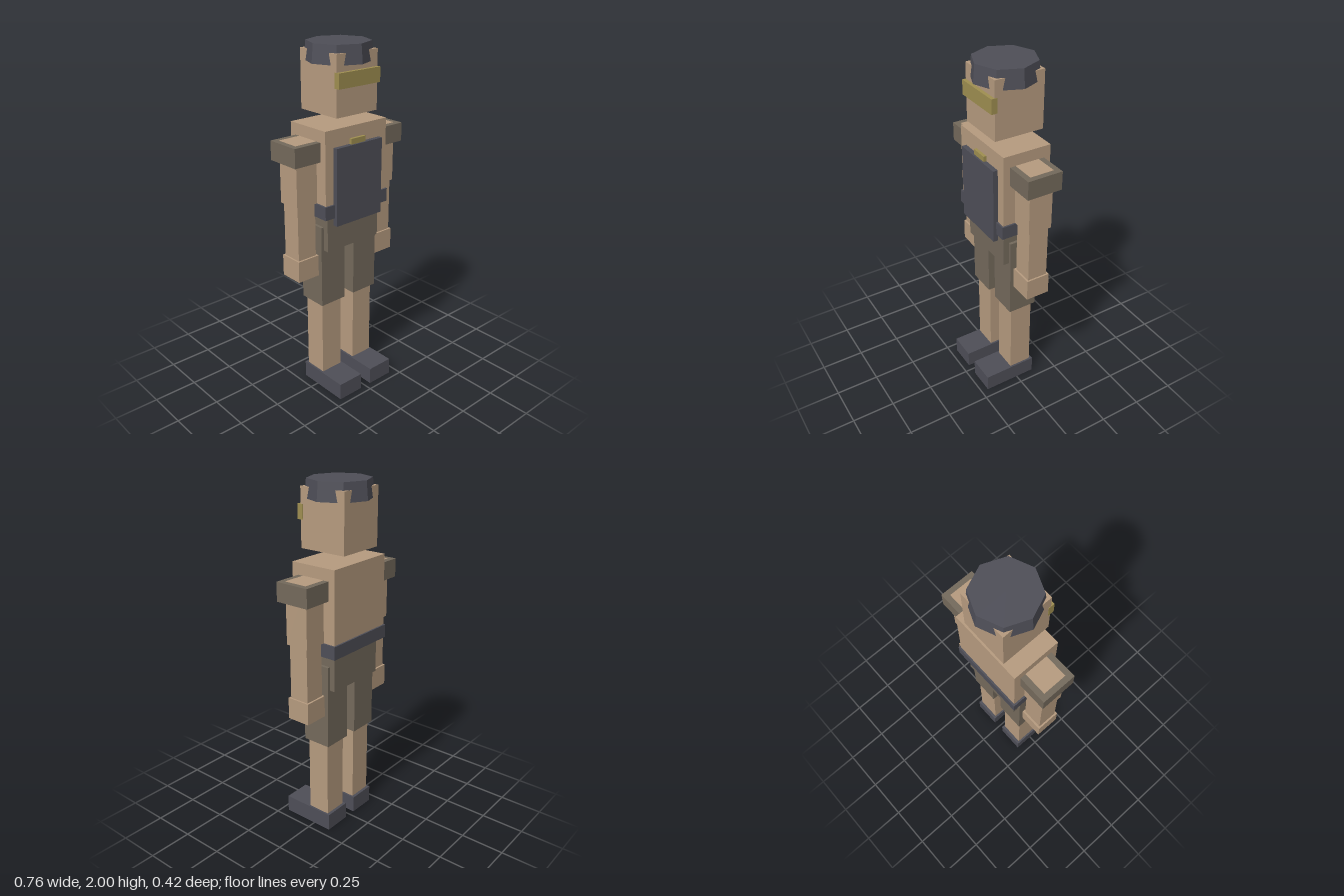
import * as THREE from 'three';

const flat = (name, color) => {
  const m = new THREE.MeshStandardMaterial({ color });
  m.name = name;
  return m;
};

export function createModel() {
  const tan = flat('tan', 0xb59a7e);
  const brown = flat('brown', 0x73695b);
  const charcoal = flat('charcoal', 0x4e4e57);
  const gold = flat('gold', 0x9e8e50);
  const Z = -0.028; // body axis in depth

  const model = new THREE.Group();
  model.name = 'blockFigure';

  // box from centre x, width, bottom and top, back and front
  function block(parent, name, material, x, w, y0, y1, z0, z1) {
    const mesh = new THREE.Mesh(new THREE.BoxGeometry(w, y1 - y0, z1 - z0), material);
    mesh.position.set(x, (y0 + y1) / 2, (z0 + z1) / 2);
    mesh.name = name;
    parent.add(mesh);
  }

  // head with visor and eight-sided cap
  const head = new THREE.Group();
  head.name = 'head';
  block(head, 'skull', tan, 0, 0.28, 1.64, 1.96, -0.17, 0.115);
  block(head, 'visor', gold, 0, 0.284, 1.79, 1.87, 0.1, 0.135);
  const cap = new THREE.Mesh(new THREE.CylinderGeometry(0.171, 0.181, 0.1, 8).toNonIndexed(), charcoal);
  cap.geometry.computeVertexNormals();
  cap.position.set(0, 1.95, Z);
  cap.name = 'cap';
  head.add(cap);
  model.add(head);

  // trunk
  block(model, 'torso', tan, 0, 0.43, 1.12, 1.585, Z - 0.14, Z + 0.14);
  block(model, 'chestPlate', charcoal, 0, 0.322, 1.06, 1.49, 0.11, 0.139);
  block(model, 'badge', gold, 0, 0.1, 1.44, 1.52, 0.1, 0.129);
  block(model, 'belt', charcoal, 0, 0.45, 1.105, 1.18, Z - 0.15, Z + 0.15);
  block(model, 'pelvis', brown, 0, 0.37, 0.9, 1.11, Z - 0.118, Z + 0.118);

  // mirrored limbs
  for (const [side, s] of [['left', 1], ['right', -1]]) {
    const arm = new THREE.Group();
    arm.name = side + 'Arm';
    const ax = s * 0.28;
    block(arm, 'shoulderPad', brown, ax, 0.2, 1.415, 1.52, Z - 0.101, Z + 0.101);
    block(arm, 'upperArm', tan, ax, 0.138, 1.18, 1.521, Z - 0.069, Z + 0.069);
    block(arm, 'forearm', tan, ax, 0.118, 0.87, 1.18, Z - 0.058, Z + 0.058);
    block(arm, 'hand', tan, ax, 0.138, 0.75, 0.873, Z - 0.069, Z + 0.069);

    const leg = new THREE.Group();
    leg.name = side + 'Leg';
    const lx = s * 0.118;
    block(leg, 'thigh', brown, lx, 0.168, 0.557, 1.037, Z - 0.085, Z + 0.085);
    block(leg, 'shin', tan, lx, 0.138, 0.09, 0.56, Z - 0.067, Z + 0.067);
    block(leg, 'foot', charcoal, lx, 0.16, 0, 0.1, -0.112, 0.208);
    model.add(arm, leg);
  }
  return model;
}
